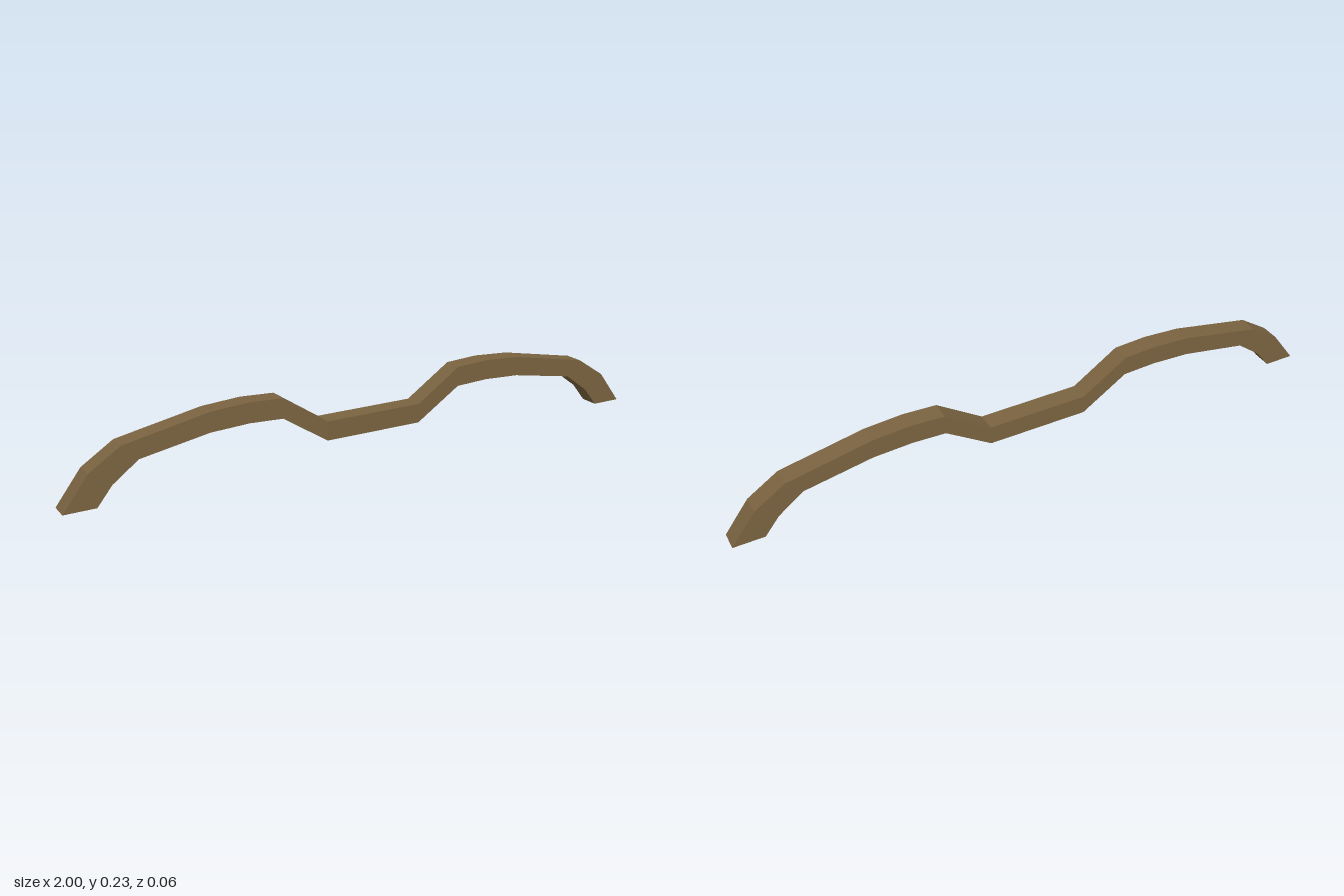
import * as THREE from 'three';

export function createModel() {
  const group = new THREE.Group();
  group.name = 'recurveBow';
  const depth = 0.063;

  // Half outline, from the grip to the tip and back along the underside
  const upper = [[0.165, 0.125], [0.315, 0.225], [0.425, 0.231], [0.55, 0.223], [0.82, 0.171], [0.92, 0.106], [1, 0]];
  const lower = [[0.9, 0], [0.852, 0.06], [0.77, 0.121], [0.55, 0.16], [0.425, 0.166], [0.315, 0.161], [0.165, 0.063]];

  const material = new THREE.MeshStandardMaterial({ color: 0x7a6340, flatShading: true });

  // Flat bar cut from an outline, centred on z = 0
  function bar(name, outline) {
    const shape = new THREE.Shape(outline.map(([x, y]) => new THREE.Vector2(x, y)));
    const geometry = new THREE.ExtrudeGeometry(shape, { depth, bevelEnabled: false });
    geometry.translate(0, 0, -depth / 2);
    const mesh = new THREE.Mesh(geometry, material);
    mesh.name = name;
    group.add(mesh);
  }

  // One continuous body: both curved limbs and the straight grip between them
  const half = [...upper, ...lower];
  const mirrored = half.map(([x, y]) => [-x, y]).reverse();
  bar('bowBody', [...half, ...mirrored]);

  return group;
}
